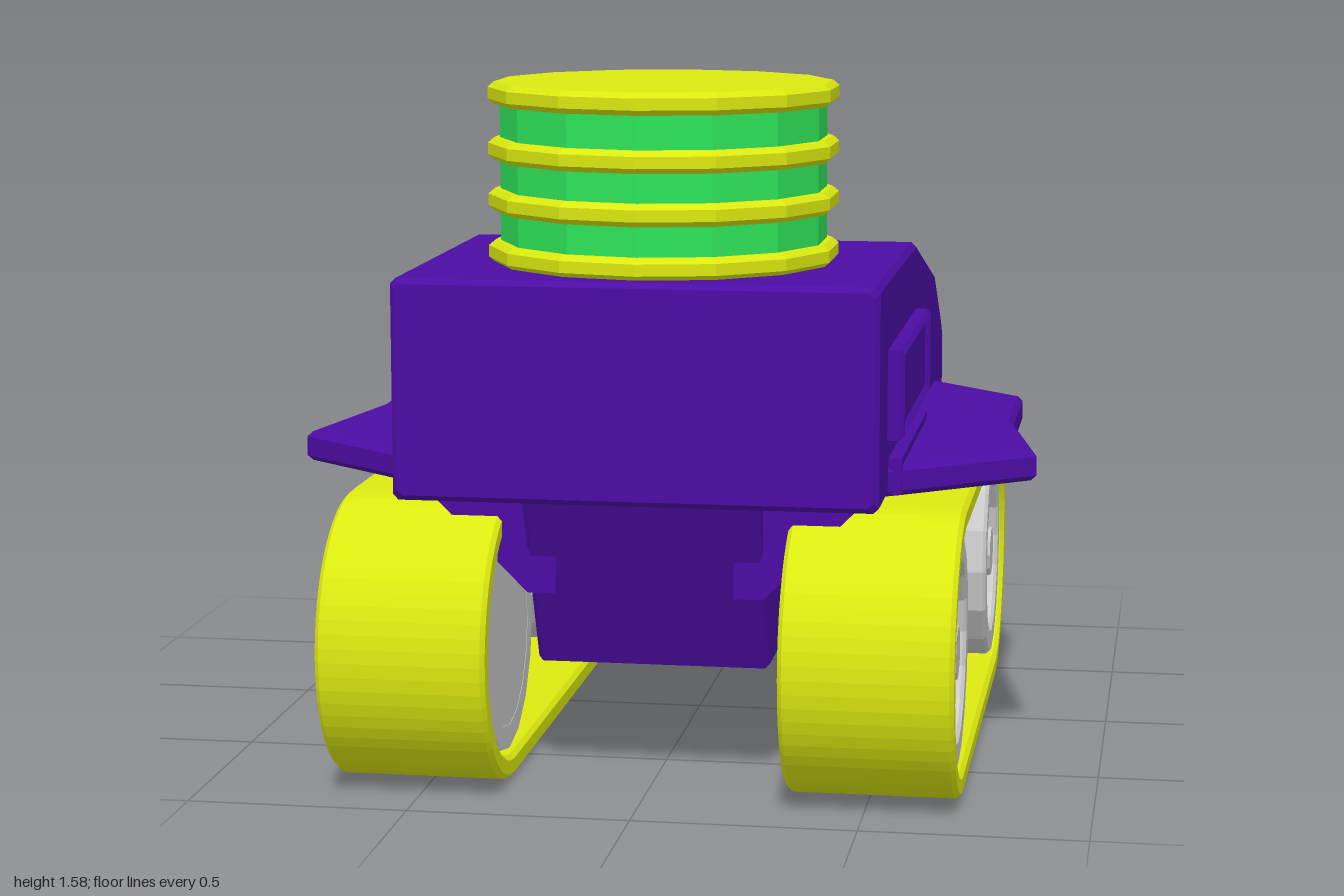
import * as THREE from 'three';

const mat = (color, side = THREE.FrontSide) => new THREE.MeshStandardMaterial({ color, side, flatShading: true });
const purple = mat(0x4c0ca4);
const yellow = mat(0xdcea10);
const green = mat(0x2ee65a);
const grey = mat(0xcccccc);

function add(parent, name, geometry, material) {
  const mesh = new THREE.Mesh(geometry, material);
  mesh.name = name;
  parent.add(mesh);
  return mesh;
}

// Chamfered rectangular cross-section, counter-clockwise seen from +z
function rect(x0, x1, y0, y1, c = 0.012) {
  c = Math.min(c, (x1 - x0) / 3);
  return [[x0 + c, y0], [x1 - c, y0], [x1, y0 + c], [x1, y1 - c],
    [x1 - c, y1], [x0 + c, y1], [x0, y1 - c], [x0, y0 + c]];
}

// Skin over [z, ring] sections listed from front (+z) to back
function loft(sections) {
  const pos = [];
  const n = sections[0][1].length;
  const put = (s, j) => pos.push(...sections[s][1][j % n], sections[s][0]);
  const last = sections.length - 1;
  for (let s = 0; s < last; s++) {
    for (let j = 0; j < n; j++) {
      put(s, j); put(s + 1, j); put(s, j + 1);
      put(s, j + 1); put(s + 1, j); put(s + 1, j + 1);
    }
  }
  for (let j = 1; j < n - 1; j++) {
    put(0, 0); put(0, j); put(0, j + 1);
    put(last, 0); put(last, j + 1); put(last, j);
  }
  const g = new THREE.BufferGeometry();
  g.setAttribute('position', new THREE.Float32BufferAttribute(pos, 3));
  g.computeVertexNormals();
  return g;
}

const shapeOf = pts => new THREE.Shape(pts.map(p => new THREE.Vector2(...p)));

// Bevelled extrusion whose full depth, bevels included, is 'depth'
function extrude(shape, depth, bevel = 0, curveSegments = 16) {
  const g = new THREE.ExtrudeGeometry(shape, {
    depth: depth - 2 * bevel, curveSegments, bevelEnabled: bevel > 0,
    bevelSize: bevel, bevelOffset: -bevel, bevelThickness: bevel, bevelSegments: 1,
  });
  return g.translate(0, 0, bevel);
}

// Turns an extrusion sideways: shape x becomes -z, depth becomes x
const sideways = (g, x, y, z) => g.rotateY(Math.PI / 2).translate(x, y, z);

function stadium(path, half, r) {
  path.absarc(half, 0, r, -Math.PI / 2, Math.PI / 2, false);
  path.absarc(-half, 0, r, Math.PI / 2, Math.PI * 1.5, false);
  path.closePath();
  return path;
}

function polygon(path, r, n) {
  const pts = [];
  for (let i = 0; i < n; i++) {
    const a = (i / n) * Math.PI * 2;
    pts.push(new THREE.Vector2(Math.cos(a) * r, Math.sin(a) * r));
  }
  return path.setFromPoints(pts);
}

function addWheel(parent, z) {
  const wheel = new THREE.Group();
  wheel.name = 'wheel';
  // Deep rim
  const ring = polygon(new THREE.Shape(), 0.265, 16);
  ring.holes.push(polygon(new THREE.Path(), 0.2, 16));
  add(wheel, 'rim', sideways(extrude(ring, 0.36, 0.008), 0.333, 0.33, z), grey);
  // Five tapered spokes around a hub
  const star = [];
  for (let i = 0; i < 5; i++) {
    const a = Math.PI / 2 + (i * Math.PI * 2) / 5;
    for (const [da, r] of [[-0.62, 0.085], [-0.13, 0.208], [0.13, 0.208]]) {
      star.push([Math.cos(a + da) * r, Math.sin(a + da) * r]);
    }
  }
  add(wheel, 'spokes', sideways(extrude(shapeOf(star), 0.06), 0.6, 0.33, z), grey);
  add(wheel, 'hub', new THREE.CylinderGeometry(0.06, 0.08, 0.05, 10).rotateZ(-Math.PI / 2)
    .translate(0.665, 0.33, z), grey);
  // Cover on the inner side
  add(wheel, 'innerCover', new THREE.CircleGeometry(0.262, 16).rotateY(-Math.PI / 2)
    .translate(0.334, 0.33, z), grey);
  parent.add(wheel);
}

// Everything that exists once per side, built for +x
function buildSide() {
  const side = new THREE.Group();

  // Track belt with two wheels
  const belt = stadium(new THREE.Shape(), 0.538, 0.327);
  belt.holes.push(stadium(new THREE.Path(), 0.538, 0.275));
  add(side, 'track', sideways(extrude(belt, 0.383, 0.01), 0.322, 0.33, 0.135), yellow);
  for (const z of [0.685, -0.415]) addWheel(side, z);

  // Rear prong
  add(side, 'rearProng', loft([
    [-0.44, rect(0.2, 0.535, 0.68, 1.04)],
    [-0.65, rect(0.2, 0.535, 0.63, 0.9)],
    [-0.7, rect(0.2, 0.535, 0.6, 0.854)],
    [-1.0, rect(0.205, 0.222, 0.43, 0.58)],
  ]), purple);

  // Flat fender; outline given as x, -z
  const fender = shapeOf([[0.5, -0.77], [0.565, -0.73], [0.848, -0.505], [0.772, -0.1],
    [0.772, 0.26], [0.535, 0.485], [0.5, 0.52]]);
  add(side, 'fender', extrude(fender, 0.068, 0.012).rotateX(-Math.PI / 2).translate(0, 0.69, 0), purple);
  // Low strip along the fender joint
  add(side, 'fenderStrip', new THREE.BoxGeometry(0.05, 0.08, 0.64).translate(0.54, 0.735, 0.42), purple);

  // Raised side panel with a frame
  const frame = shapeOf([[-0.34, -0.1], [0.34, -0.1], [0.34, 0.1], [-0.34, 0.1]]);
  frame.holes.push(new THREE.Path([[-0.315, -0.08], [-0.315, 0.08], [0.315, 0.08], [0.315, -0.08]]
    .map(p => new THREE.Vector2(...p))));
  add(side, 'panelFrame', sideways(extrude(frame, 0.05, 0.01), 0.522, 0.92, 0.43), purple);
  add(side, 'panel', new THREE.BoxGeometry(0.04, 0.17, 0.64).translate(0.54, 0.92, 0.43), purple);

  // Sloped shoulder between chassis and hull
  const shoulder = [[0.2, 0.46], [0.265, 0.46], [0.5, 0.695], [0.2, 0.695]];
  add(side, 'chassisShoulder', loft([[0.8, shoulder], [-0.58, shoulder]]), purple);
  return side;
}

// Mirrors geometry in x and restores the winding
function mirrorX(object) {
  const copy = object.clone();
  copy.traverse(o => {
    if (!o.isMesh) return;
    const g = o.geometry.index ? o.geometry.toNonIndexed() : o.geometry.clone();
    g.scale(-1, 1, 1);
    const p = g.attributes.position;
    const a = new THREE.Vector3(), b = new THREE.Vector3();
    for (let i = 0; i < p.count; i += 3) {
      a.fromBufferAttribute(p, i + 1);
      b.fromBufferAttribute(p, i + 2);
      p.setXYZ(i + 1, b.x, b.y, b.z);
      p.setXYZ(i + 2, a.x, a.y, a.z);
    }
    g.computeVertexNormals();
    o.geometry = g;
  });
  return copy;
}

export function createModel() {
  const model = new THREE.Group();
  model.name = 'trackedVehicle';

  // Hull, sloping down to the rear
  const w = 0.535;
  add(model, 'hull', loft([
    [0.95, rect(-w + 0.012, w - 0.012, 0.702, 1.168)],
    [0.938, rect(-w, w, 0.69, 1.18)],
    [0.1, rect(-w, w, 0.69, 1.18)],
    [-0.44, rect(-w, w, 0.685, 1.04)],
  ]), purple);
  add(model, 'slotFloor', loft([
    [-0.43, rect(-0.21, 0.21, 0.66, 0.8)],
    [-0.62, rect(-0.21, 0.21, 0.62, 0.8)],
    [-0.69, rect(-0.21, 0.21, 0.61, 0.75)],
  ]), purple);

  // Narrow chassis with slanted ends, from belly corners up to the hull
  const belly = shapeOf([[-0.87, 0.7], [-0.68, 0.275], [0.46, 0.275], [0.62, 0.64], [0.5, 0.7]]);
  add(model, 'chassis', sideways(extrude(belly, 0.53, 0.01), -0.265, 0, 0), purple);

  // Sides
  const left = buildSide();
  left.name = 'leftSide';
  const right = mirrorX(left);
  right.name = 'rightSide';
  model.add(left, right);

  // Banded drum on top
  const drum = new THREE.Group();
  drum.name = 'drum';
  drum.position.z = 0.52;
  add(drum, 'drumCore', new THREE.CylinderGeometry(0.37, 0.37, 0.39, 14).translate(0, 1.365, 0), green);
  for (const y of [1.203, 1.32, 1.435, 1.56]) {
    const profile = [[0, -0.025], [0.383, -0.025], [0.397, -0.013], [0.397, 0.013], [0.383, 0.025], [0, 0.025]];
    add(drum, 'drumBand', new THREE.LatheGeometry(profile.map(p => new THREE.Vector2(...p)), 14)
      .translate(0, y, 0), yellow);
  }
  model.add(drum);

  // Rear gun turned around its axis, with a hollow muzzle
  const gun = [[0, 0.25], [0.105, 0.25], [0.105, 0.44], [0.06, 0.46], [0.06, 0.53], [0.08, 0.53],
    [0.09, 0.545], [0.09, 0.68], [0.076, 0.695], [0.076, 0.81], [0.052, 0.81], [0.052, 0.68], [0, 0.68]];
  add(model, 'rearGun', new THREE.LatheGeometry(gun.map(p => new THREE.Vector2(...p)), 12)
    .rotateX(-Math.PI / 2).translate(0, 0.975, 0), grey);

  return model;
}
